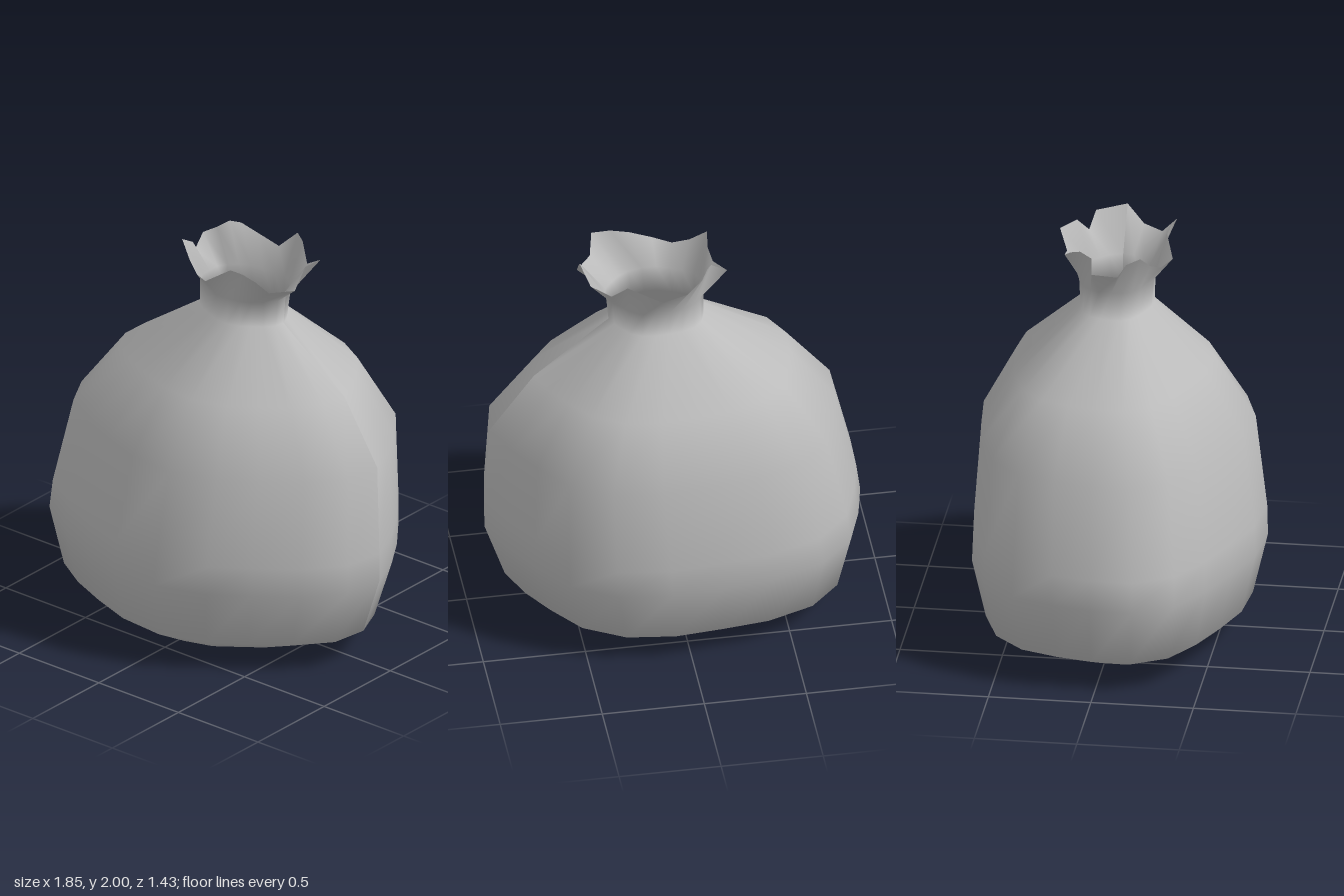
import * as THREE from 'three';

// Plan outline of the bulging body, from +x round through +z: [x, z]
const OUTLINE = [
  [0.92, -0.02], [0.89, 0.18], [0.74, 0.36], [0.55, 0.5], [0.37, 0.63], [0.11, 0.71],
  [-0.16, 0.685], [-0.4, 0.6], [-0.62, 0.505], [-0.82, 0.38], [-0.925, 0.19], [-0.92, -0.02],
  [-0.88, -0.21], [-0.81, -0.41], [-0.65, -0.57], [-0.4, -0.66], [-0.15, -0.69], [0.11, -0.713],
  [0.37, -0.68], [0.59, -0.56], [0.73, -0.38], [0.84, -0.21],
];

// Crumpled rim of the mouth, same order: [x, y, z]
const RIM = [
  [0.45, 2.0, -0.02], [0.45, 1.9, 0.06], [0.37, 1.9, 0.16], [0.35, 1.98, 0.235],
  [0.26, 1.99, 0.225], [0.17, 1.98, 0.21], [0.05, 1.9, 0.255], [-0.04, 1.89, 0.21],
  [-0.12, 1.93, 0.17], [-0.2, 2.0, 0.13], [-0.19, 1.96, 0.06], [-0.21, 1.9, 0.02],
  [-0.26, 1.93, -0.1], [-0.18, 1.98, -0.11], [-0.15, 2.0, -0.17], [-0.12, 1.98, -0.22],
  [-0.04, 1.93, -0.26], [0.08, 1.9, -0.265], [0.16, 1.98, -0.31], [0.25, 1.99, -0.24],
  [0.32, 1.91, -0.19], [0.42, 1.97, -0.17],
];

// Cross-sections from the floor up: y, centre x, centre z, half width, half depth, share of rim shape
const RINGS = [
  [0, -0.03, 0, 0.5, 0.39, 0],
  [0.15, -0.02, 0, 0.84, 0.645, 0],
  [0.45, -0.005, 0, 0.925, 0.715, 0],
  [0.6, 0.005, 0, 0.915, 0.71, 0],
  [1.05, 0.045, -0.015, 0.85, 0.665, 0],
  [1.36, 0.05, -0.03, 0.63, 0.485, 0],
  [1.65, 0.075, -0.02, 0.235, 0.18, 0],
  [1.79, 0.08, -0.02, 0.22, 0.175, 0.15],
];

export function createModel() {
  const sackGrey = new THREE.MeshStandardMaterial({ color: 0xbcbcbc, side: THREE.DoubleSide });
  sackGrey.name = 'sackGrey';

  const n = OUTLINE.length;
  const positions = [];
  const indices = [];

  // Each ring repeats its first point, leaving a sewn seam down the +x side
  for (const [y, cx, cz, rx, rz, mix] of RINGS) {
    for (let j = 0; j <= n; j++) {
      const [ox, oz] = OUTLINE[j % n];
      const [mx, , mz] = RIM[j % n];
      const x = cx + (ox / 0.925) * rx;
      const z = cz + (oz / 0.713) * rz;
      positions.push(x + (mx - x) * mix, y, z + (mz - z) * mix);
    }
  }
  for (let j = 0; j <= n; j++) positions.push(...RIM[j % n]);

  // Skin the rings; the sack is an open sheet at mouth and base
  const row = n + 1;
  for (let i = 0; i < RINGS.length; i++) {
    for (let j = 0; j < n; j++) {
      const a = i * row + j;
      const up = a + row;
      indices.push(a, up, a + 1, a + 1, up, up + 1);
    }
  }

  const geometry = new THREE.BufferGeometry();
  geometry.setAttribute('position', new THREE.Float32BufferAttribute(positions, 3));
  geometry.setIndex(indices);
  geometry.computeVertexNormals();

  const sack = new THREE.Mesh(geometry, sackGrey);
  sack.name = 'sack';

  const model = new THREE.Group();
  model.name = 'tiedSack';
  model.add(sack);
  return model;
}
